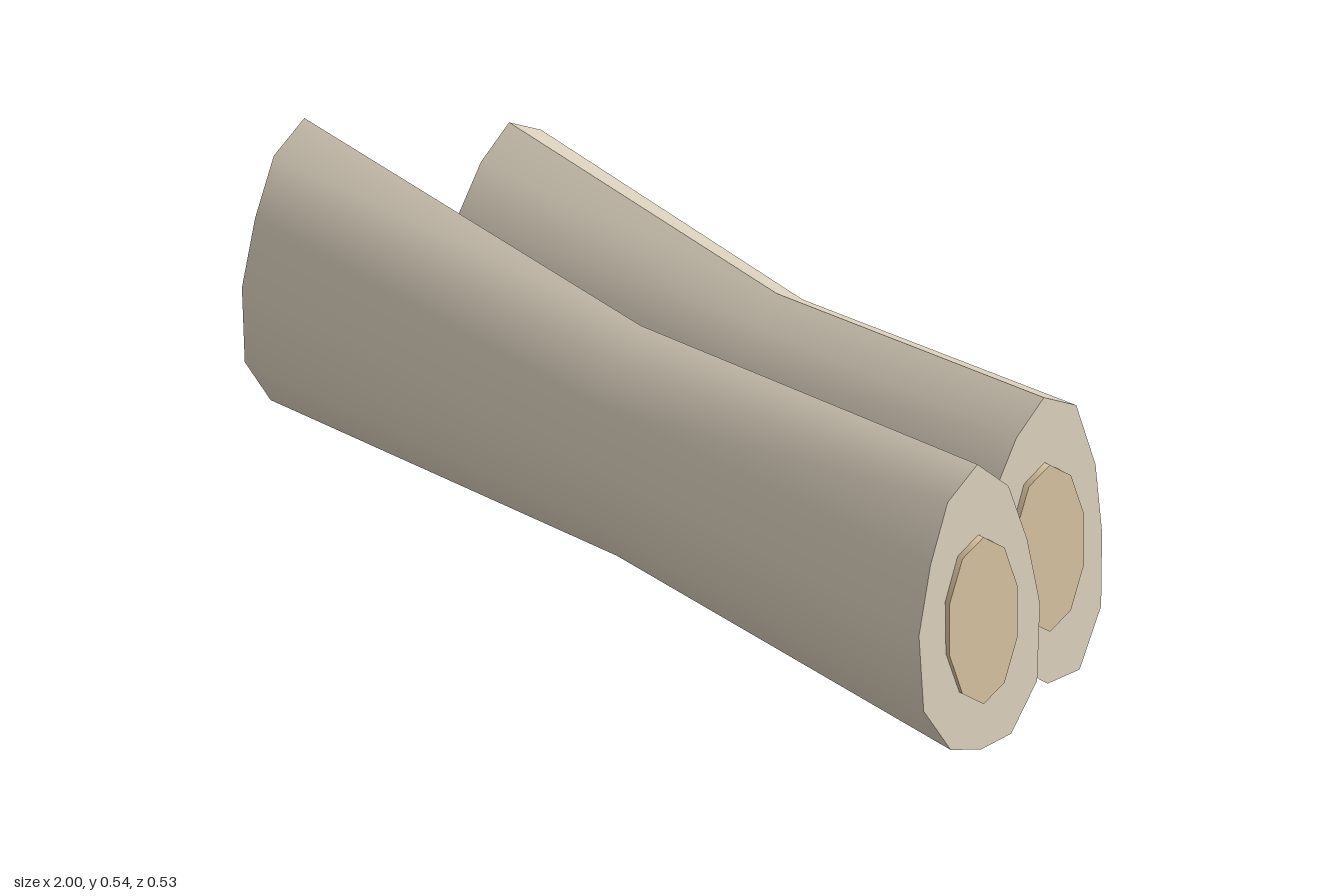
import * as THREE from 'three';
import { toCreasedNormals } from 'three/addons/utils/BufferGeometryUtils.js';

// End outlines as [z, y], clockwise from the top when seen from +x
const FRONT_OUTLINE = [
  [0.14, 0.535], [0.075, 0.48], [0.037, 0.373], [0.012, 0.25], [0.02, 0.11], [0.076, 0.026],
  [0.14, 0.012], [0.204, 0.026], [0.26, 0.11], [0.268, 0.25], [0.242, 0.373], [0.204, 0.48],
];
const BACK_OUTLINE = [
  [-0.147, 0.525], [-0.215, 0.495], [-0.254, 0.377], [-0.266, 0.25], [-0.262, 0.115], [-0.215, 0.01],
  [-0.147, 0], [-0.088, 0.041], [-0.031, 0.115], [-0.011, 0.25], [-0.041, 0.377], [-0.088, 0.465],
];

// Shaft with a narrow waist and slightly sloping ends
function shaftGeometry(outline, centreZ, halfLength) {
  const n = outline.length;
  const waist = 0.81, waistY = 0.2;
  const endX = (y) => halfLength - 0.02 * y;
  const positions = [], index = [];
  for (const side of [-1, 0, 1]) {
    const s = side === 0 ? waist : 1;
    for (const [z, y] of outline) {
      positions.push(side * endX(y), waistY + (y - waistY) * s, centreZ + (z - centreZ) * s);
    }
  }
  for (const side of [-1, 1]) positions.push(side * endX(0.25), 0.25, centreZ);
  for (let j = 0; j < n; j++) {
    const k = (j + 1) % n;
    for (let i = 0; i < 2; i++) {
      const a = i * n + j, b = i * n + k, c = b + n, d = a + n;
      index.push(a, d, c, a, c, b);
    }
    index.push(3 * n, j, k);                          // cap at -x
    index.push(3 * n + 1, 2 * n + k, 2 * n + j);      // cap at +x
  }
  const geometry = new THREE.BufferGeometry();
  geometry.setAttribute('position', new THREE.Float32BufferAttribute(positions, 3));
  geometry.setIndex(index);
  return toCreasedNormals(geometry, 0.7);
}

export function createModel() {
  const boneMaterial = new THREE.MeshStandardMaterial({ color: 0xddd2bf });
  boneMaterial.name = 'bone';
  const marrowMaterial = new THREE.MeshStandardMaterial({ color: 0xdac4a2 });
  marrowMaterial.name = 'marrow';

  // Ten-sided oval plug lying along x
  const depth = 0.04;
  const plugGeometry = new THREE.CylinderGeometry(1, 1, depth, 10, 1, false, Math.PI / 2);
  plugGeometry.rotateZ(Math.PI / 2);
  plugGeometry.scale(1, 0.154, 0.0755);

  function bone(name, outline, centreZ, halfLength) {
    const group = new THREE.Group();
    group.name = name;
    const shaft = new THREE.Mesh(shaftGeometry(outline, centreZ, halfLength - 0.007), boneMaterial);
    shaft.name = 'shaft';
    group.add(shaft);
    for (const side of [-1, 1]) {
      const plug = new THREE.Mesh(plugGeometry, marrowMaterial);
      plug.name = side > 0 ? 'leftMarrow' : 'rightMarrow';
      plug.position.set(side * (halfLength - depth / 2), 0.252, centreZ);
      group.add(plug);
    }
    return group;
  }

  const model = new THREE.Group();
  model.name = 'bonePair';
  model.add(bone('frontBone', FRONT_OUTLINE, 0.14, 1));
  model.add(bone('backBone', BACK_OUTLINE, -0.147, 0.798));
  return model;
}
